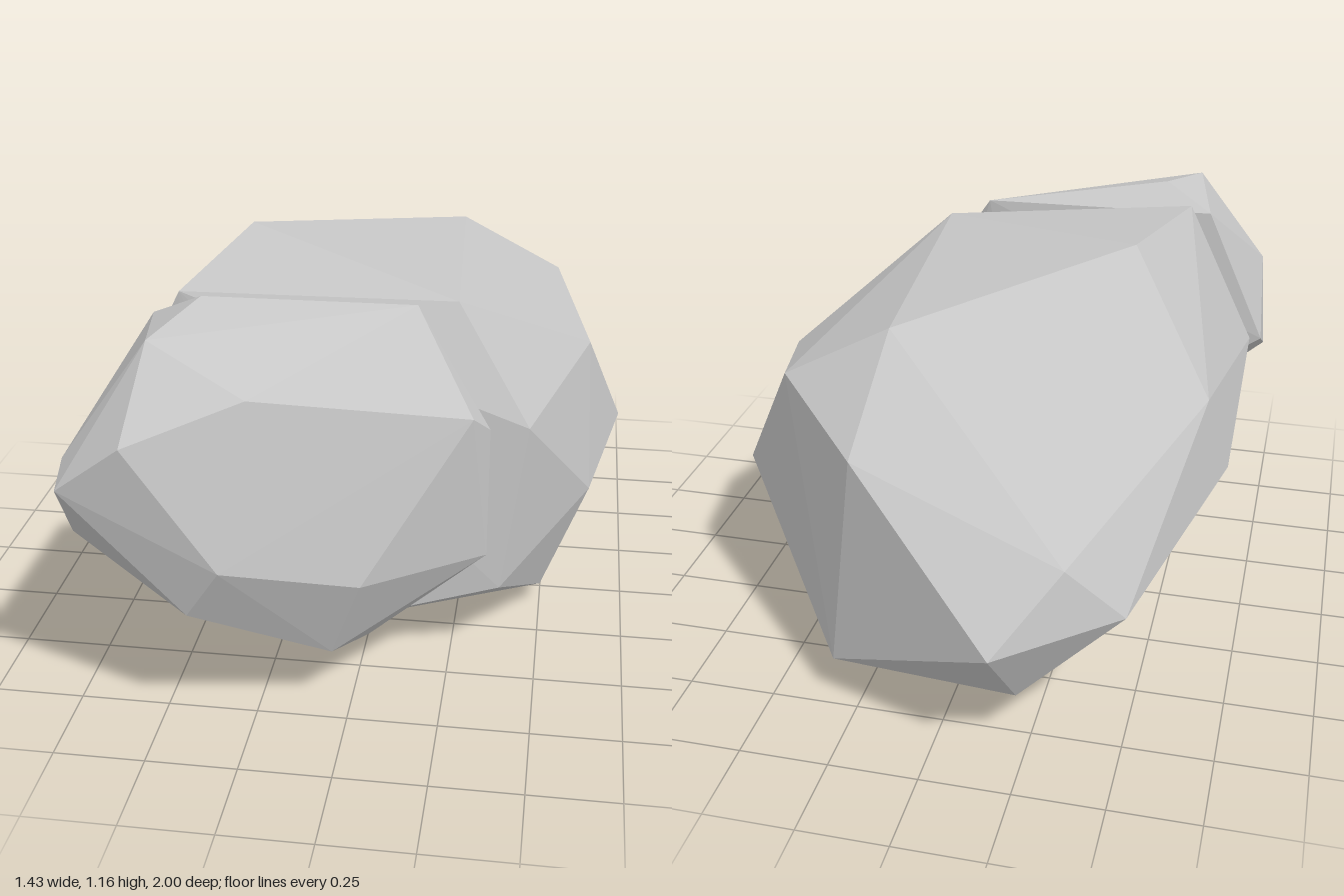
import * as THREE from 'three';
import { ConvexGeometry } from 'three/addons/geometries/ConvexGeometry.js';

const stone = new THREE.MeshStandardMaterial({ color: 0xc6c6c6 });
stone.name = 'light grey stone';

// A faceted boulder: the convex hull of its corner points
function boulder(name, corners) {
  const points = corners.map(([x, y, z]) => new THREE.Vector3(x, y, z));
  const mesh = new THREE.Mesh(new ConvexGeometry(points), stone);
  mesh.name = name;
  return mesh;
}

export function createModel() {
  const group = new THREE.Group();
  group.name = 'splitRock';

  group.add(boulder('largeRockHalf', [
    // top
    [-0.38, 1.16, -0.01], [0.25, 1.08, 0.34], [0.2, 1.05, -0.48], [-0.48, 1.12, 0.465],
    // left side
    [0.5, 0.89, -0.49], [0.61, 0.8, -0.1], [0.715, 0.49, -0.27], [0.63, 0.42, 0.11],
    // split face
    [0.455, 0.76, 0.43], [0.39, 0.27, 0.455], [-0.06, 0.125, 0.46],
    [-0.48, 0.4, 0.45], [-0.69, 0.71, 0.435],
    // underside
    [0.5, 0.065, 0.09], [0.16, 0, -0.49], [0.32, 0.14, -0.73], [-0.22, 0.17, -0.81],
    // back and right side
    [-0.19, 0.41, -1], [0.23, 0.8, -0.77], [-0.35, 0.6, -0.84],
    [-0.5, 0.435, -0.77], [-0.63, 0.82, -0.25], [-0.69, 0.57, -0.16],
  ]));

  group.add(boulder('smallRockHalf', [
    // top
    [-0.475, 1.12, 0.8], [-0.39, 1.155, 0.58], [0.15, 1.1, 0.43], [-0.535, 1.08, 0.52],
    // left side
    [0.315, 0.86, 0.6], [0.355, 0.8, 0.53], [0.355, 0.42, 0.53],
    // underside
    [0.03, 0.135, 0.535], [-0.04, 0.21, 0.74], [-0.41, 0.3, 0.72],
    // front
    [0.05, 0.47, 0.82], [-0.38, 0.42, 0.93], [-0.28, 0.58, 0.98],
    [-0.5, 0.92, 1], [-0.22, 1, 0.86], [-0.68, 0.78, 0.97],
    // right side
    [-0.72, 0.55, 0.77], [-0.72, 0.665, 0.54], [-0.69, 0.82, 0.87],
  ]));

  return group;
}
